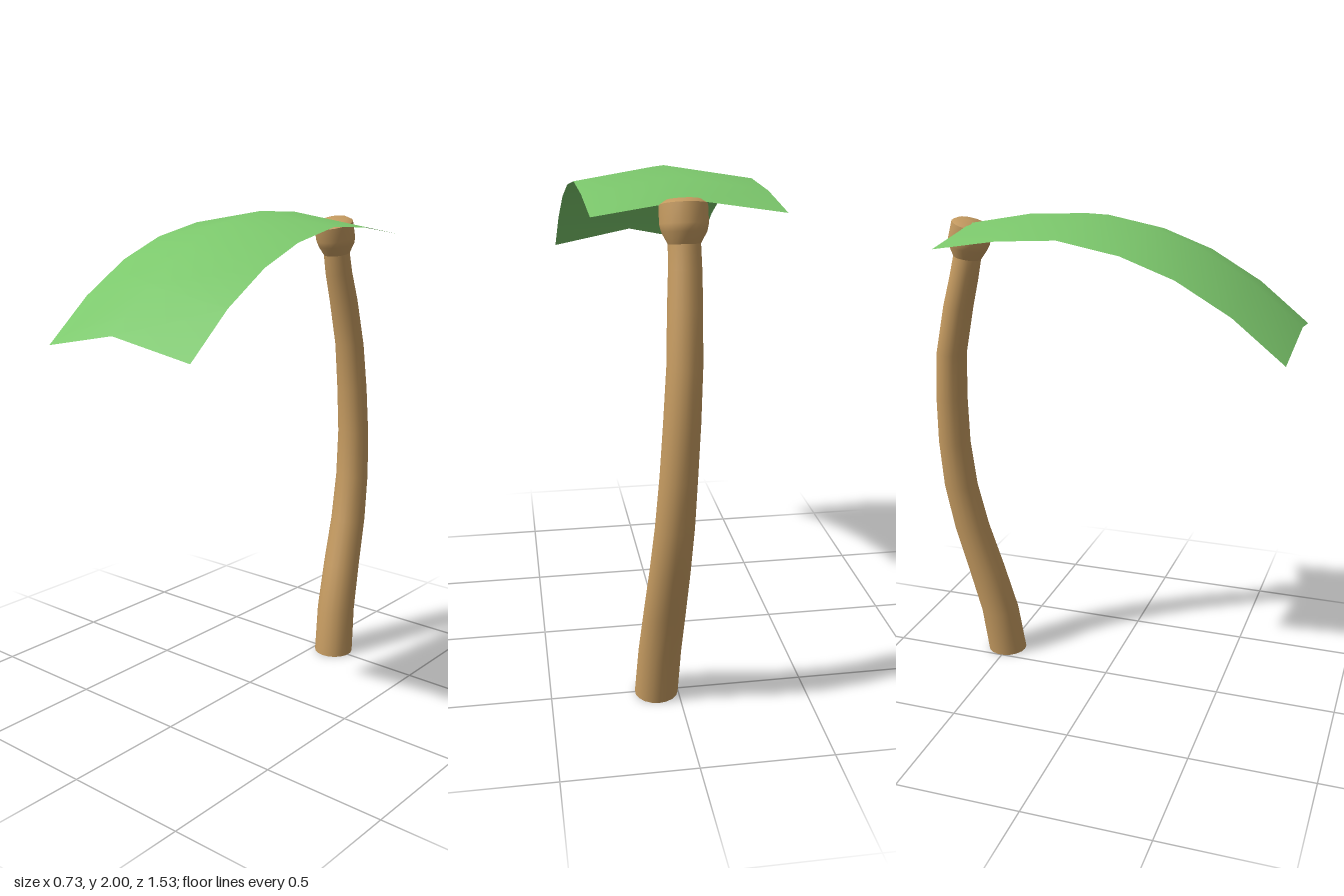
import * as THREE from 'three';

// Smooth surface through rows of points; closed rows share their seam
function loft(rows, closed) {
  const n = rows[0].length, cols = closed ? n : n - 1, index = [];
  for (let i = 0; i < rows.length - 1; i++) {
    for (let j = 0; j < cols; j++) {
      const a = i * n + j, b = i * n + (j + 1) % n;
      index.push(a, a + n, b, b, a + n, b + n);
    }
  }
  const geometry = new THREE.BufferGeometry();
  geometry.setAttribute('position', new THREE.Float32BufferAttribute(rows.flat(2), 3));
  geometry.setIndex(index);
  geometry.computeVertexNormals();
  return geometry;
}

// Ring of points; tilt raises the back edge
function ring([x, y, z, r, tilt], sides = 18) {
  return Array.from({ length: sides }, (_, k) => {
    const a = (k / sides) * Math.PI * 2;
    const c = Math.cos(a) * r;
    return [x + Math.sin(a) * r, y - c * Math.sin(tilt), z + c * Math.cos(tilt)];
  });
}

function mesh(name, geometry, material) {
  const m = new THREE.Mesh(geometry, material);
  m.name = name;
  return m;
}

export function createModel() {
  const group = new THREE.Group();
  group.name = 'palmTree';
  const bark = new THREE.MeshStandardMaterial({ color: 0xc49a60, side: THREE.DoubleSide });
  const green = new THREE.MeshStandardMaterial({ color: 0x7cc86c, side: THREE.DoubleSide });

  // Curved, tapering trunk, open at the bottom: x, y, z, radius, tilt
  const trunk = [
    [0.085, 0, -0.505, 0.085, 0],
    [0.075, 0.2, -0.532, 0.083, 0],
    [0.064, 0.4, -0.585, 0.08, 0],
    [0.054, 0.6, -0.643, 0.076, 0],
    [0.043, 0.8, -0.683, 0.072, 0],
    [0.033, 1.0, -0.699, 0.068, 0],
    [0.022, 1.2, -0.696, 0.066, 0],
    [0.012, 1.4, -0.682, 0.063, 0],
    [0.005, 1.6, -0.638, 0.061, 0.08],
    [0.0, 1.72, -0.605, 0.058, 0.14],
    [0.0, 1.81, -0.585, 0.056, 0.18],
  ];
  // rings go counter-clockwise from above, so faces look outward once reversed
  const rows = list => list.map(p => ring(p).reverse());
  group.add(mesh('trunk', loft(rows(trunk), true), bark));

  // Swollen crown at the top of the trunk
  const crown = [
    [0, 1.8, -0.587, 0.054, 0.18],
    [0, 1.845, -0.582, 0.078, 0.2],
    [0, 1.87, -0.575, 0.084, 0.22],
    [0, 1.932, -0.559, 0.083, 0.28],
  ];
  const cap = [
    [0, 1.932, -0.559, 0.083, 0.28],
    [0, 1.947, -0.557, 0.06, 0.28],
    [0, 1.95, -0.556, 0, 0.28],
  ];
  group.add(mesh('crown', loft(rows(crown), true), bark));
  group.add(mesh('crownCap', loft(rows(cap), true), bark));

  // Drooping frond with a raised midrib: z, ridge y, edge y
  const frond = [
    [-0.55, 1.945, 1.893],
    [-0.3, 1.99, 1.932],
    [-0.07, 2.0, 1.945],
    [0.164, 1.965, 1.9],
    [0.365, 1.89, 1.825],
    [0.57, 1.77, 1.705],
    [0.767, 1.612, 1.545],
  ];
  const leafRows = frond.map(([z, ridge, edge]) => {
    const t = (z + 0.55) / 1.317;
    return [
      [-0.365 + 0.05 * t, edge, z - 0.004],
      [-0.025 + 0.045 * t, ridge, z],
      [0.315 + 0.045 * t, edge + 0.006, z - 0.026],
    ];
  });
  group.add(mesh('frond', loft(leafRows, false), green));
  return group;
}
